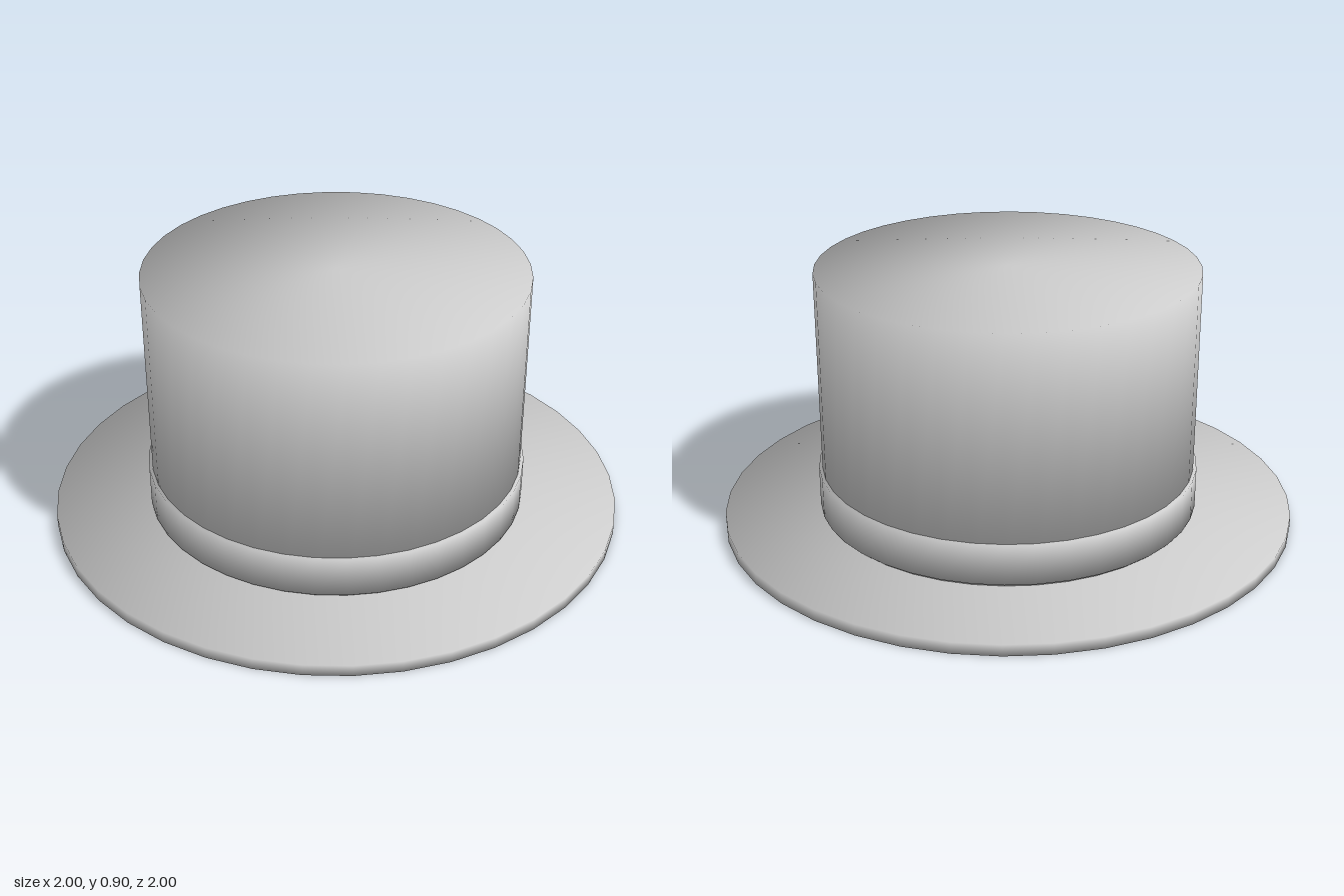
import * as THREE from 'three';

const SEGMENTS = 40;

// Closed drum whose normals blend smoothly over the rims
function softDrum(name, radius, bottom, top, material) {
  const geometry = new THREE.CylinderGeometry(radius, radius, top - bottom, SEGMENTS);
  const position = geometry.attributes.position;
  const normal = geometry.attributes.normal;
  const n = new THREE.Vector3();
  for (let i = 0; i < position.count; i++) {
    const side = Math.sign(position.getY(i));
    n.set(position.getX(i) / radius, side, position.getZ(i) / radius).normalize();
    normal.setXYZ(i, n.x, n.y, n.z);
  }
  geometry.translate(0, (bottom + top) / 2, 0);
  const mesh = new THREE.Mesh(geometry, material);
  mesh.name = name;
  return mesh;
}

export function createModel() {
  const felt = new THREE.MeshStandardMaterial({ color: 0xcccccc });
  felt.name = 'grey felt';

  const hat = new THREE.Group();
  hat.name = 'topHat';
  hat.add(
    softDrum('brim', 1, 0, 0.04, felt),
    softDrum('crown', 0.655, 0.03, 0.9, felt),
    softDrum('hatBand', 0.667, 0.05, 0.19, felt),
  );
  return hat;
}
